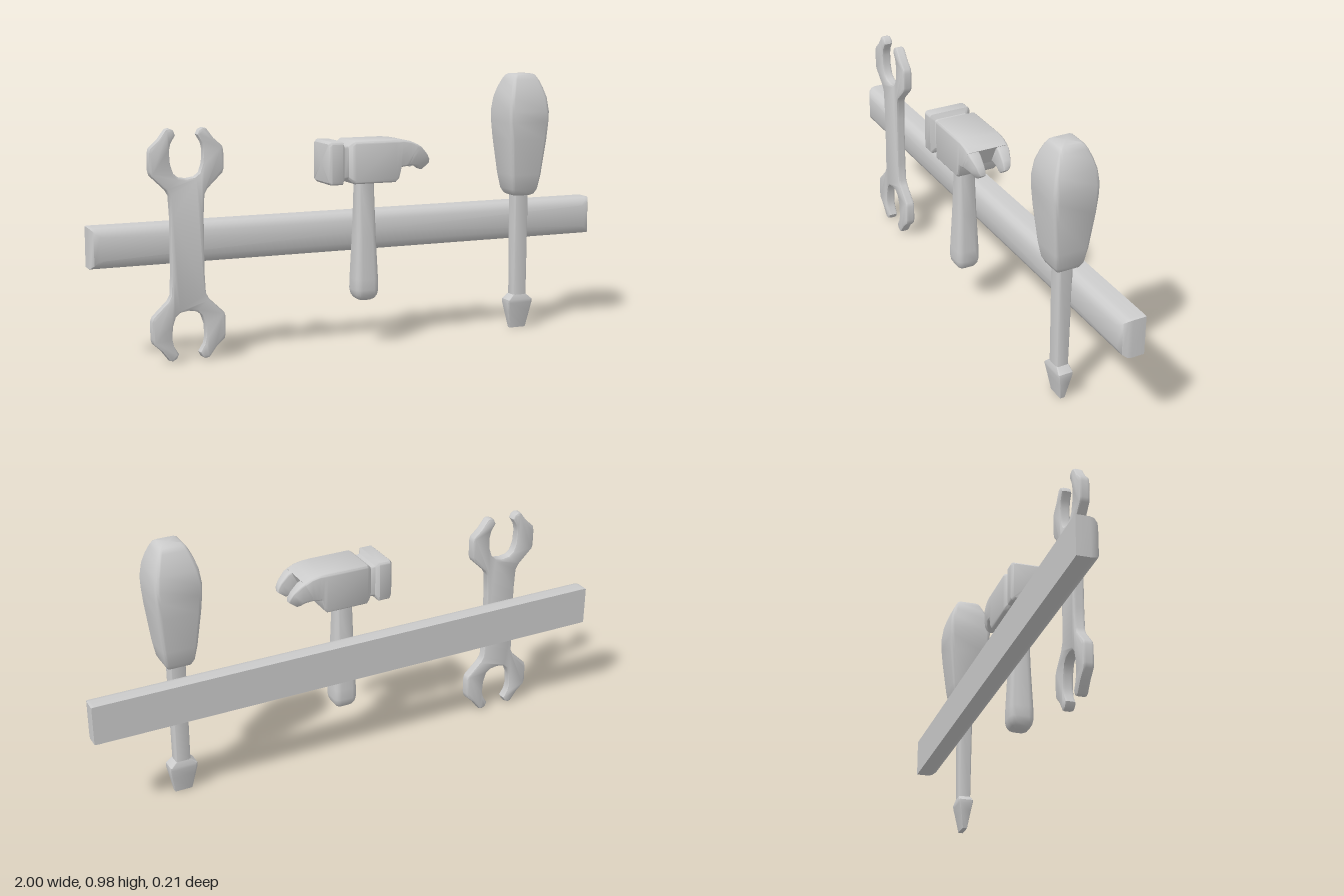
import * as THREE from 'three';
import { toCreasedNormals } from 'three/addons/utils/BufferGeometryUtils.js';

const material = new THREE.MeshStandardMaterial({ color: 0xcccccc });

// Unit rounded square, counter-clockwise; r is the corner radius (0..1).
function roundedSquare(r, steps = 4) {
  const pts = [];
  for (let q = 0; q < 4; q++) {
    const mid = Math.PI / 4 + q * Math.PI / 2;
    const cx = Math.sign(Math.cos(mid)) * (1 - r), cy = Math.sign(Math.sin(mid)) * (1 - r);
    for (let i = 0; i <= steps; i++) {
      const a = (q + i / steps) * Math.PI / 2;
      pts.push([cx + r * Math.cos(a), cy + r * Math.sin(a)]);
    }
  }
  return pts;
}

// Skin through sections [x, y, heading in degrees, half height, half depth, z].
function loft(name, sections, r, crease = 0.75) {
  const unit = roundedSquare(r), n = unit.length, pos = [], idx = [];
  for (const [x, y, deg, h, w, z = 0] of sections) {
    const a = THREE.MathUtils.degToRad(deg);
    for (const [u, v] of unit) pos.push(x - Math.sin(a) * u * h, y + Math.cos(a) * u * h, z + v * w);
  }
  const last = (sections.length - 1) * n;
  for (let j = 0; j < last; j += n) {
    for (let i = 0; i < n; i++) {
      const k = (i + 1) % n;
      idx.push(j + i, j + k, j + n + i, j + k, j + n + k, j + n + i);
    }
  }
  // End caps
  for (const s of [sections[0], sections[sections.length - 1]]) pos.push(s[0], s[1], s[5] ?? 0);
  const c = last + n;
  for (let i = 0; i < n; i++) {
    const k = (i + 1) % n;
    idx.push(c, k, i, c + 1, last + i, last + k);
  }
  const g = new THREE.BufferGeometry();
  g.setAttribute('position', new THREE.Float32BufferAttribute(pos, 3));
  g.setIndex(idx);
  const mesh = new THREE.Mesh(toCreasedNormals(g, crease), material);
  mesh.name = name;
  return mesh;
}

// Upright loft from rows of [y, half width, half depth].
const upright = (name, rows, r, x, z, crease) =>
  loft(name, rows.map(([y, hx, hz = hx]) => [x, y, 90, hx, hz, z]), r, crease);

function group(name, ...parts) {
  const g = new THREE.Group();
  g.name = name;
  g.add(...parts);
  return g;
}

// Rail: flat back, softened front edges
function makeRail() {
  const rail = upright('rail', [
    [-0.108, 1, 0.073], [-0.06, 1, 0.073], [-0.045, 0.997, 0.07],
    [-0.031, 0.987, 0.06], [-0.022, 0.967, 0.042],
  ], 0.02, 0, 0, 0.9);
  rail.rotation.x = Math.PI / 2;
  rail.position.y = 0.413;
  return rail;
}

// Double open-ended wrench: one quarter of the outline, mirrored both ways
function makeWrench() {
  const quarter = [
    [0, 0.233], [0.03, 0.238], [0.047, 0.252], [0.058, 0.285], [0.061, 0.33], [0.055, 0.357], [0.038, 0.385],
    [0.046, 0.402], [0.06, 0.409], [0.073, 0.406], [0.1, 0.37], [0.131, 0.342], [0.135, 0.325],
    [0.135, 0.263], [0.13, 0.248], [0.075, 0.195], [0.064, 0.175], [0.06, 0.1],
  ];
  const flip = (sx, sy) => quarter.map(([x, y]) => new THREE.Vector2(x * sx, y * sy));
  const outline = [
    ...flip(1, 1), ...flip(1, -1).reverse(), ...flip(-1, -1).slice(1), ...flip(-1, 1).reverse().slice(0, -1),
  ];
  const g = new THREE.ExtrudeGeometry(new THREE.Shape(outline), {
    depth: 0.018, bevelEnabled: true, bevelThickness: 0.01, bevelSize: 0.008, bevelOffset: -0.008, bevelSegments: 2,
  });
  g.translate(-0.667, 0.413, -0.01);
  const mesh = new THREE.Mesh(toCreasedNormals(g, 0.75), material);
  mesh.name = 'wrench';
  return mesh;
}

// Claw hammer
function makeHammer() {
  const z = 0.025, y = 0.6825;
  const head = loft('hammerHead', [
    [-0.17, y, 0, 0.069, 0.071, z], [-0.16, y, 0, 0.0775, 0.08, z],
    [-0.118, y, 0, 0.0775, 0.08, z], [-0.107, y, 0, 0.061, 0.065, z],
    [-0.09, y, 0, 0.059, 0.063, z], [-0.079, y, 0, 0.07, 0.073, z],
    [-0.068, y, 0, 0.0775, 0.08, z], [0.09, y, 0, 0.0775, 0.08, z],
    [0.102, 0.688, 0, 0.071, 0.08, z], [0.115, 0.708, -4, 0.05, 0.08, z],
    [0.14, 0.706, -14, 0.047, 0.08, z], [0.16, 0.701, -28, 0.043, 0.079, z],
  ], 0.16);
  const prongs = [-1, 1].map((s) => loft('hammerClaw', [
    [0.14, 0.706, -14, 0.046, 0.023, z + s * 0.056], [0.17, 0.698, -34, 0.04, 0.023, z + s * 0.056],
    [0.198, 0.68, -47, 0.031, 0.018, z + s * 0.052], [0.21, 0.666, -52, 0.027, 0.015, z + s * 0.049],
    [0.217, 0.657, -53, 0.02, 0.01, z + s * 0.046],
  ], 0.3));
  const handle = upright('hammerHandle', [
    [0.17, 0.022], [0.177, 0.034], [0.19, 0.042], [0.21, 0.046], [0.25, 0.045],
    [0.4, 0.038], [0.55, 0.033], [0.63, 0.032],
  ], 0.5, -0.004, z);
  return group('hammer', head, ...prongs, handle);
}

// Flat-blade screwdriver
function makeScrewdriver() {
  const x = 0.656;
  const handle = upright('screwdriverHandle', [
    [0.518, 0.032], [0.524, 0.044], [0.543, 0.054], [0.6, 0.064], [0.735, 0.079], [0.8, 0.084], [0.84, 0.085],
    [0.892, 0.078], [0.93, 0.066], [0.96, 0.053], [0.975, 0.044], [0.981, 0.035],
  ], 0.2, x, 0);
  const shaft = upright('screwdriverShaft', [[0.11, 0.028, 0.023], [0.54, 0.029, 0.028]], 0.3, x, 0);
  const blade = upright('screwdriverBlade', [
    [0, 0.033, 0.009], [0.065, 0.046, 0.02], [0.1, 0.052, 0.027], [0.112, 0.051, 0.028], [0.132, 0.028, 0.023],
  ], 0.15, x, 0, 0.5);
  return group('screwdriver', handle, shaft, blade);
}

export function createModel() {
  return group('toolRack', makeRail(), makeWrench(), makeHammer(), makeScrewdriver());
}
